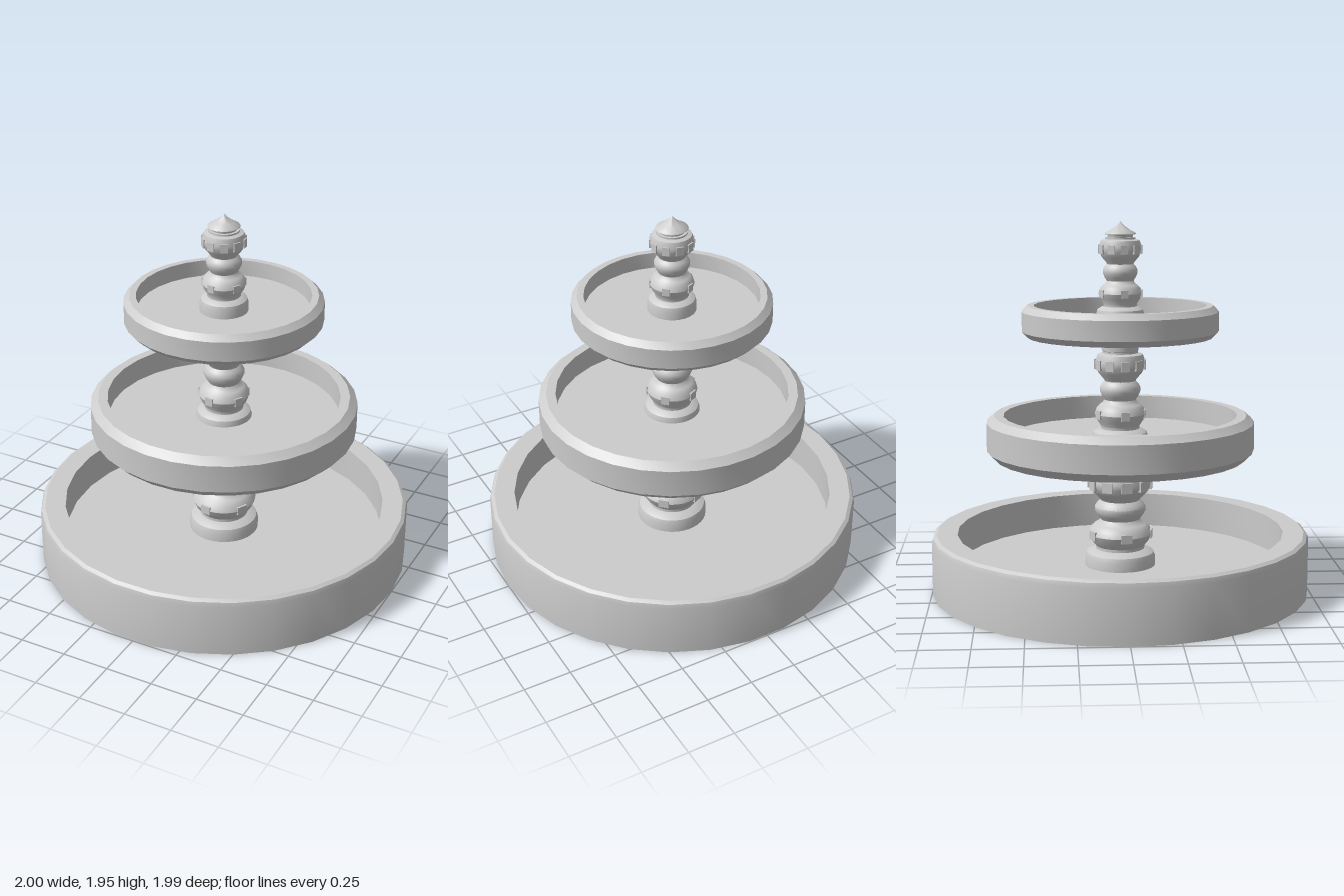
import * as THREE from 'three';
import { toCreasedNormals } from 'three/addons/utils/BufferGeometryUtils.js';

const material = new THREE.MeshStandardMaterial({ color: 0xcccccc });

// Turned part from [radius, height] pairs, listed bottom to top on the outside
function turned(name, profile, sides, crease) {
  const points = profile.map(([r, y]) => new THREE.Vector2(r, y));
  const geometry = new THREE.LatheGeometry(points, sides, Math.PI / 2);
  const mesh = new THREE.Mesh(toCreasedNormals(geometry, crease), material);
  mesh.name = name;
  return mesh;
}

// Open basin with chamfered rim, vertical inner wall and flat floor
function basin(name, b) {
  return turned(name, [
    [0, b.bottom], [b.r - b.under, b.bottom], [b.r, b.bottom + b.under],
    [b.r, b.top - b.chamfer], [b.rimR, b.top], [b.inner, b.top],
    [b.inner, b.floor], [0, b.floor],
  ], 30, 0.45);
}

// Shared stem profile, heights measured from the centre of the upper block band
const stemProfile = [
  [0.187, -0.385], [0.178, -0.36], [0.15, -0.345], [0.13, -0.34], [0.13, -0.325],
  [0.155, -0.295], [0.17, -0.262], [0.158, -0.232], [0.135, -0.212], [0.118, -0.205],
  [0.105, -0.187], [0.122, -0.165], [0.135, -0.142], [0.135, -0.122], [0.122, -0.103],
  [0.103, -0.088], [0.112, -0.075], [0.145, -0.045], [0.164, -0.012], [0.167, 0.015],
  [0.15, 0.052], [0.118, 0.06], [0.118, 0.07],
];
const flare = [[0.122, 0.072], [0.124, 0.1], [0.138, 0.112], [0.17, 0.146]];
const finial = [[0.096, 0.07], [0.1, 0.085], [0.124, 0.09], [0.118, 0.097], [0.075, 0.115], [0.027, 0.142], [0, 0.166]];

// Ring of small raised blocks around a bulge
function blockRing(name, count, y, radius, width, height) {
  const ring = new THREE.Group();
  ring.name = name;
  const geometry = new THREE.BoxGeometry(width, height, 0.03);
  for (let i = 0; i < count; i++) {
    const a = -0.155 + (i / count) * Math.PI * 2;
    const block = new THREE.Mesh(geometry, material);
    block.name = 'raisedBlock';
    block.position.set(Math.sin(a) * radius, y, Math.cos(a) * radius);
    block.rotation.y = a;
    ring.add(block);
  }
  return ring;
}

function stem(name, { centre, wide, tall, floor, end }) {
  const group = new THREE.Group();
  group.name = name;
  const body = [...stemProfile, ...end].map(([r, y]) => [r * wide, centre + y * tall]);
  // Foot runs straight down to the basin floor
  group.add(turned('turnedStem', [[0.187 * wide, floor - 0.01], ...body], 36, 0.6));
  const size = 0.058 * wide;
  const radius = 0.171 * wide - 0.015;
  group.add(blockRing('upperBlocks', 10, centre, radius, size, 0.052 * tall));
  group.add(blockRing('lowerBlocks', 5, centre - 0.262 * tall, radius, size, 0.045 * tall));
  return group;
}

export function createModel() {
  const model = new THREE.Group();
  model.name = 'tieredFountain';

  // Three basins, largest at the ground
  model.add(
    turned('lowerBasin', [
      [0, 0], [1, 0], [1, 0.285], [0.993, 0.308], [0.975, 0.32],
      [0.865, 0.32], [0.865, 0.13], [0, 0.13],
    ], 30, 0.45),
    basin('middleBasin', { r: 0.705, bottom: 0.718, top: 0.945, under: 0.045, chamfer: 0.035, rimR: 0.665, inner: 0.615, floor: 0.82 }),
    basin('upperBasin', { r: 0.515, bottom: 1.355, top: 1.52, under: 0.032, chamfer: 0.03, rimR: 0.485, inner: 0.45, floor: 1.432 }),
  );

  // Stems rise from each basin, the last ending in a pointed finial
  model.add(
    stem('lowerStem', { centre: 0.575, wide: 1, tall: 1.04, floor: 0.13, end: flare }),
    stem('middleStem', { centre: 1.21, wide: 0.79, tall: 1, floor: 0.82, end: flare }),
    stem('upperStem', { centre: 1.81, wide: 0.67, tall: 0.87, floor: 1.432, end: finial }),
  );
  return model;
}
